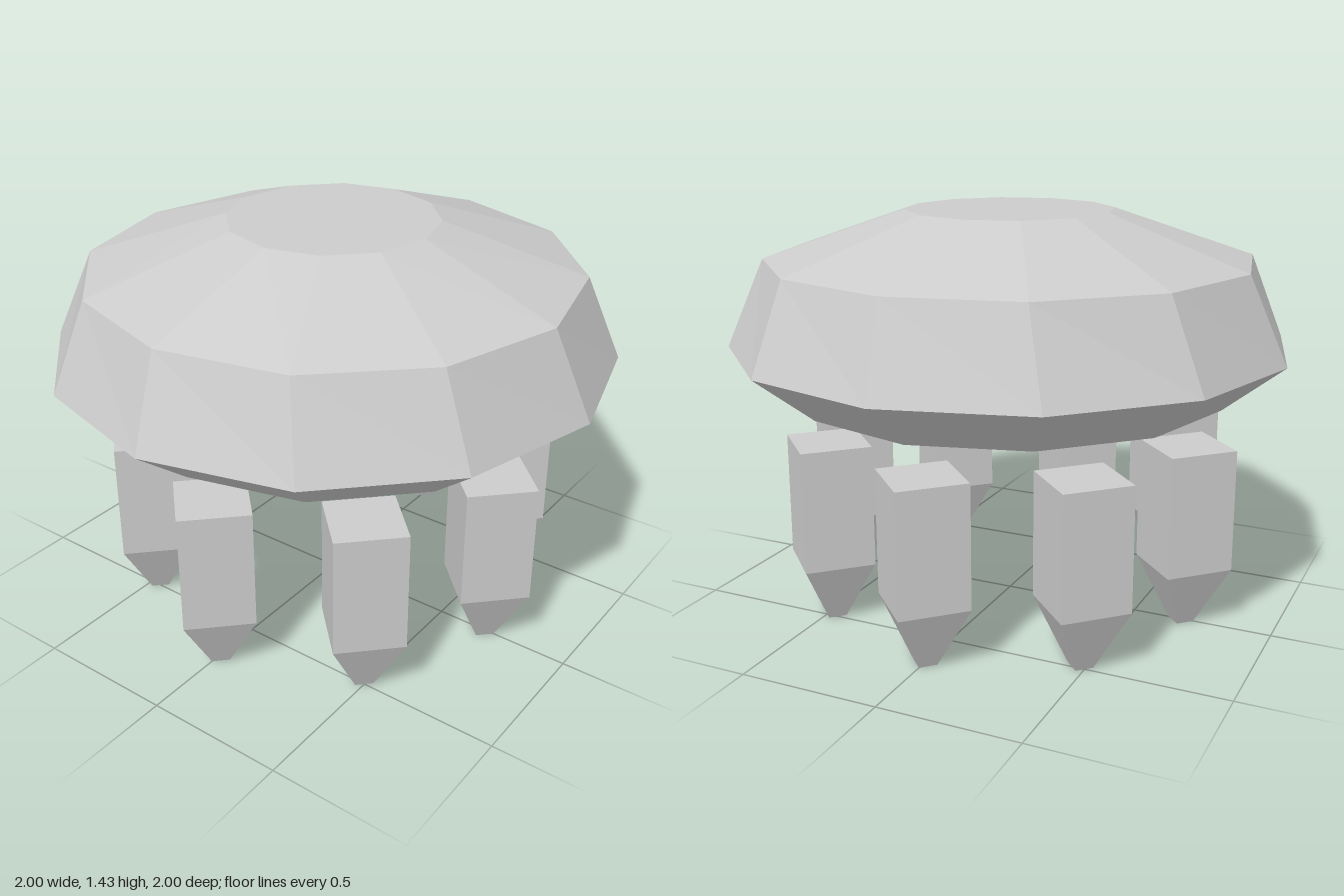
import * as THREE from 'three';

export function createModel() {
  const model = new THREE.Group();
  const grey = new THREE.MeshStandardMaterial({ color: 0xcccccc, flatShading: true });
  grey.name = 'grey';

  // Twelve-sided faceted dome, closed at top and bottom
  const shoulderY = 1.265;
  const profile = [[0, 0.79], [0.785, 0.79], [1, 0.96], [0.87, shoulderY], [0.37, 1.435], [0, 1.435]]
    .map(([r, y]) => new THREE.Vector2(r, y));
  const domeGeometry = new THREE.LatheGeometry(profile, 12);

  // The shoulder ring is turned slightly against the others
  const position = domeGeometry.attributes.position;
  const vertex = new THREE.Vector3();
  const up = new THREE.Vector3(0, 1, 0);
  for (let i = 0; i < position.count; i++) {
    vertex.fromBufferAttribute(position, i);
    if (Math.abs(vertex.y - shoulderY) < 0.001) {
      vertex.applyAxisAngle(up, -THREE.MathUtils.degToRad(1.8));
      position.setXYZ(i, vertex.x, vertex.y, vertex.z);
    }
  }
  const dome = new THREE.Mesh(domeGeometry, grey);
  dome.name = 'dome';
  model.add(dome);

  // Eight floating square tentacles, each a straight block with a tapered tip
  const tentacleProfile = [[0, 0], [0.045, 0], [0.174, 0.22], [0.174, 0.655], [0, 0.655]]
    .map(([r, y]) => new THREE.Vector2(r, y));
  const tentacleGeometry = new THREE.LatheGeometry(tentacleProfile, 4);
  for (let i = 0; i < 8; i++) {
    const angle = (i * Math.PI) / 4;
    const tentacle = new THREE.Mesh(tentacleGeometry, grey);
    tentacle.name = `tentacle${i + 1}`;
    tentacle.position.set(Math.cos(angle) * 0.675, 0, Math.sin(angle) * 0.675);
    model.add(tentacle);
  }
  return model;
}
